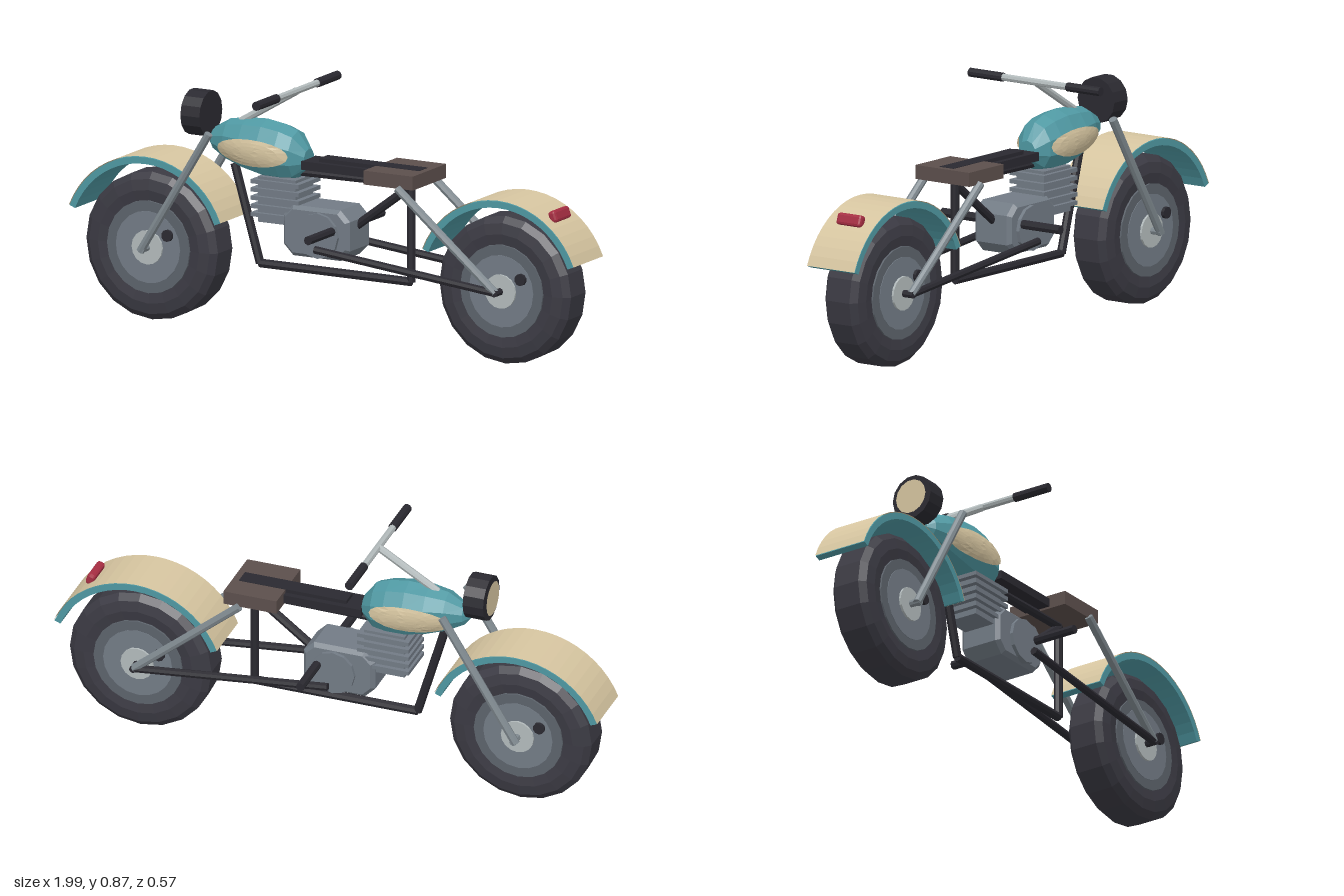
import * as THREE from 'three';
import { RoundedBoxGeometry } from 'three/addons/geometries/RoundedBoxGeometry.js';

const mat = (name, color, flatShading = true) => {
  const m = new THREE.MeshStandardMaterial({ color, flatShading });
  m.name = name;
  return m;
};

export function createModel() {
  const M = {
    tyre: mat('tyre rubber', 0x3b3a43), black: mat('black', 0x2a2930),
    teal: mat('teal paint', 0x4f98a2), cream: mat('cream paint', 0xd6c5a0),
    leather: mat('brown leather', 0x5c4f4c), red: mat('red lens', 0xa62d42),
    steel: mat('steel', 0x7f898f), chrome: mat('chrome', 0xb2babb),
    engine: mat('engine grey', 0x727b85), disc: mat('dark disc grey', 0x5c636b),
  };
  M.cream.side = THREE.DoubleSide;
  const root = new THREE.Group();
  root.name = 'motorcycle';

  const add = (name, geo, m, x = 0, y = 0, z = 0, parent = root) => {
    const mesh = new THREE.Mesh(geo, m);
    mesh.name = name;
    mesh.position.set(x, y, z);
    parent.add(mesh);
    return mesh;
  };
  const box = (name, m, w, h, d, x, y, z) => add(name, new THREE.BoxGeometry(w, h, d), m, x, y, z);
  // Straight tube between two points
  const rod = (name, m, a, b, r, sides = 8) => {
    const A = new THREE.Vector3(...a), B = new THREE.Vector3(...b);
    const dir = B.clone().sub(A);
    const mesh = add(name, new THREE.CylinderGeometry(r, r, dir.length(), sides), m);
    mesh.position.copy(A).add(B).multiplyScalar(0.5);
    mesh.quaternion.setFromUnitVectors(new THREE.Vector3(0, 1, 0), dir.normalize());
    return mesh;
  };
  // Disc with its axis along z
  const puck = (name, m, r, depth, x, y, z, parent, sides = 20, rTop = r) =>
    add(name, new THREE.CylinderGeometry(rTop, r, depth, sides).rotateX(Math.PI / 2), m, x, y, z, parent);

  // Wheels and fenders
  const axleY = 0.262, rad = THREE.MathUtils.degToRad;
  const tyreProfile = [[0.15, -0.07], [0.2, -0.077], [0.238, -0.07], [0.26, -0.05], [0.26, 0.05],
    [0.238, 0.07], [0.2, 0.077], [0.15, 0.07]].map(p => new THREE.Vector2(...p));
  const a0 = rad(22), a1 = rad(158), fenderWidth = 0.205;
  const arch = new THREE.Shape();
  arch.absarc(0, 0, 0.32, a0, a1, false);
  arch.absarc(0, 0, 0.297, a1, a0, true);
  for (const [end, x] of [['front', -0.698], ['rear', 0.698]]) {
    const wheel = new THREE.Group();
    wheel.name = end + 'Wheel';
    wheel.position.set(x, axleY, 0);
    root.add(wheel);
    add('tyre', new THREE.LatheGeometry(tyreProfile, 20).rotateX(Math.PI / 2), M.tyre, 0, 0, 0, wheel);
    for (const turn of [0, Math.PI]) {
      const side = new THREE.Group();
      side.name = 'wheelSide';
      side.rotation.y = turn;
      wheel.add(side);
      puck('rimDisc', M.disc, 0.168, 0.078, 0, 0, 0.039, side, 20, 0.163);
      puck('brakeDisc', M.engine, 0.127, 0.08, 0, 0, 0.04, side);
      puck('hub', M.chrome, 0.06, 0.088, 0, 0, 0.044, side, 16);
      puck('boltHole', M.black, 0.021, 0.092, 0.08, 0.05, 0.046, side, 10);
    }
    const fender = new THREE.Group();
    fender.name = end + 'Fender';
    fender.position.copy(wheel.position);
    root.add(fender);
    add('fenderShell', new THREE.ExtrudeGeometry(arch,
      { depth: fenderWidth, bevelEnabled: false, curveSegments: 10 }), M.teal, 0, 0, -fenderWidth / 2, fender);
    add('fenderSkin', new THREE.CylinderGeometry(0.323, 0.323, fenderWidth, 20, 1, true,
      a0 + Math.PI / 2, a1 - a0).rotateX(Math.PI / 2), M.cream, 0, 0, 0, fender);
    rod(end + 'Axle', end === 'front' ? M.steel : M.black, [x, axleY, -0.13], [x, axleY, 0.13], 0.013);
  }

  // Forks, stays, swingarms, grips and pegs on both sides
  for (const s of [1, -1]) {
    const z = 0.119 * s;
    rod('frontFork', M.steel, [-0.705, 0.255, z], [-0.435, 0.697, z], 0.015);
    rod('rearStay', M.steel, [0.698, 0.262, z], [0.31, 0.588, z], 0.015);
    rod('swingarm', M.black, [-0.015, 0.336, z], [0.698, 0.262, z], 0.014);
    rod('grip', M.black, [-0.155, 0.857, 0.14 * s], [-0.155, 0.857, 0.283 * s], 0.016, 10);
    rod('footPeg', M.black, [0.035, 0.4, 0.05 * s], [0.035, 0.4, 0.256 * s], 0.016);
  }
  rod('handlebar', M.chrome, [-0.155, 0.857, -0.15], [-0.155, 0.857, 0.15], 0.0125);
  rod('handlebarStem', M.chrome, [-0.155, 0.857, 0], [-0.385, 0.72, 0], 0.0135);

  // Headlight
  rod('headlight', M.black, [-0.57, 0.74, 0], [-0.495, 0.74, 0], 0.08, 14);
  add('headlightLens', new THREE.CircleGeometry(0.062, 14).rotateY(-Math.PI / 2), M.cream, -0.576, 0.74, 0);

  // Fuel tank lofted from elliptical sections: x, centre height, half height, half width
  const sections = [[-0.495, 0.655, 0.012, 0.012], [-0.475, 0.657, 0.04, 0.036], [-0.415, 0.658, 0.074, 0.064],
    [-0.345, 0.651, 0.092, 0.08], [-0.27, 0.644, 0.103, 0.086], [-0.2, 0.638, 0.098, 0.083],
    [-0.15, 0.632, 0.085, 0.072], [-0.107, 0.622, 0.037, 0.036]];
  const sides = 10, pos = [], idx = [];
  for (const [x, yc, h, w] of sections)
    for (let j = 0; j < sides; j++) {
      const a = j / sides * Math.PI * 2;
      pos.push(x, yc + h * Math.cos(a), w * Math.sin(a));
    }
  for (let i = 0; i < sections.length - 1; i++)
    for (let j = 0; j < sides; j++) {
      const p = i * sides + j, q = i * sides + (j + 1) % sides;
      idx.push(p, q, p + sides, q, q + sides, p + sides);
    }
  const last = (sections.length - 1) * sides;
  for (let j = 1; j < sides - 1; j++) {
    idx.push(0, j + 1, j);
    idx.push(last, last + j, last + j + 1);
  }
  const tank = new THREE.BufferGeometry();
  tank.setAttribute('position', new THREE.Float32BufferAttribute(pos, 3));
  tank.setIndex(idx);
  tank.computeVertexNormals();
  add('fuelTank', tank, M.teal);

  // Cream oval panels draped over the tank sides
  const tankZ = (x, y) => {
    let i = 0;
    while (i < sections.length - 2 && sections[i + 1][0] < x) i++;
    const A = sections[i], B = sections[i + 1], t = (x - A[0]) / (B[0] - A[0]);
    const [yc, h, w] = [1, 2, 3].map(k => A[k] + (B[k] - A[k]) * t);
    return w * Math.sqrt(Math.max(0, 1 - ((y - yc) / h) ** 2));
  };
  for (const s of [1, -1]) {
    const panel = new THREE.RingGeometry(0.001, 1, 20, 4), p = panel.attributes.position;
    for (let i = 0; i < p.count; i++) {
      const x = -0.293 + 0.145 * p.getX(i), y = 0.637 + 0.048 * p.getY(i);
      p.setXYZ(i, x, y, s * (tankZ(x, y) + 0.005));
    }
    panel.computeVertexNormals();
    add('tankPanel', panel, M.cream);
  }

  // Seat, tail pad and rear light
  box('seat', M.leather, 0.195, 0.049, 0.232, 0.272, 0.611, 0);
  box('seatRail', M.black, 0.29, 0.03, 0.1, 0.035, 0.609, 0);
  box('seatSpine', M.black, 0.395, 0.03, 0.06, 0.148, 0.622, 0);
  const light = add('tailLight', new RoundedBoxGeometry(0.03, 0.042, 0.105, 1, 0.009), M.red, 0.884, 0.537, 0);
  light.rotation.z = rad(20);

  // Frame tubes
  const frame = [[-0.4, 0.575, 0], [-0.3, 0.235, 0], [0.298, 0.235, 0], [0.298, 0.58, 0], [-0.15, 0.575, 0]];
  for (let i = 0; i < frame.length - 1; i++) rod('frameTube', M.black, frame[i], frame[i + 1], 0.0155);
  rod('frameBrace', M.black, [0.295, 0.57, 0], [0.05, 0.385, 0], 0.0155);

  // Engine: finned cylinder and bevelled crankcase
  box('cylinderBlock', M.engine, 0.15, 0.16, 0.12, -0.2, 0.475, 0);
  for (let i = 0; i < 5; i++) box('coolingFin', M.engine, 0.19, 0.014, 0.15, -0.2, 0.422 + i * 0.029, 0);
  const c = 0.03, w = 0.118, h = 0.076;
  const caseShape = new THREE.Shape([[-w + c, -h], [w - c, -h], [w, -h + c], [w, h - c], [w - c, h],
    [-w + c, h], [-w, h - c], [-w, -h + c]].map(p => new THREE.Vector2(...p)));
  add('crankcase', new THREE.ExtrudeGeometry(caseShape,
    { depth: 0.13, bevelSize: 0.013, bevelThickness: 0.015, bevelSegments: 1 }), M.engine, -0.038, 0.383, -0.065);
  for (const s of [1, -1]) puck('crankcaseCover', M.engine, 0.08, 0.02, -0.022, 0.378, 0.083 * s, root, 12);
  return root;
}
